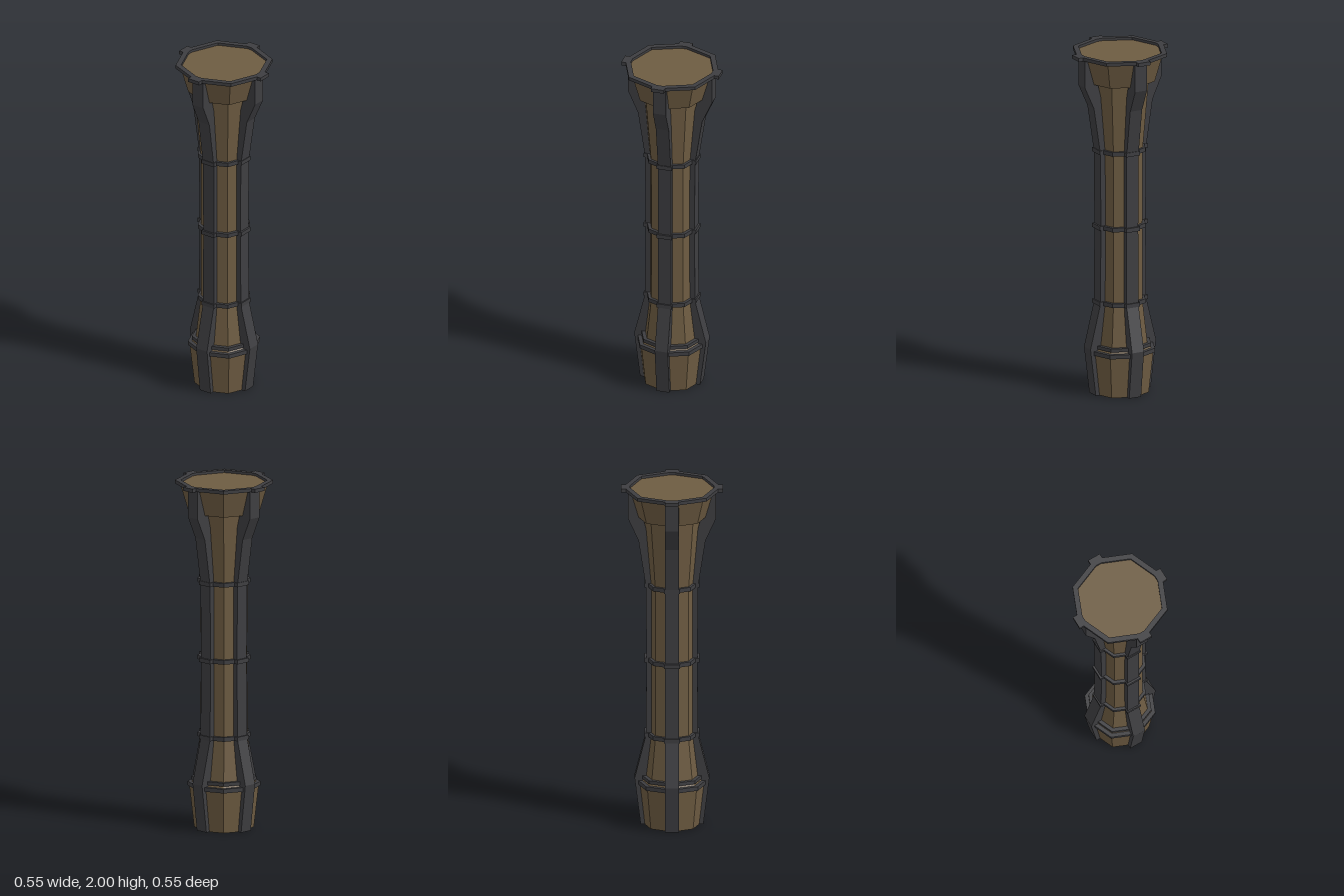
import * as THREE from 'three';

const wood = new THREE.MeshStandardMaterial({ color: 0x6e5c42, flatShading: true });
const iron = new THREE.MeshStandardMaterial({ color: 0x3e3e41, flatShading: true });
const SIDES = 8;
const HALF_WIDTH = 0.038;

// Eight-sided turned form from [radius, y] pairs listed bottom to top
function turned(name, profile, material) {
  const points = profile.map(([r, y]) => new THREE.Vector2(r, y));
  const mesh = new THREE.Mesh(new THREE.LatheGeometry(points, SIDES), material);
  mesh.name = name;
  return mesh;
}

// Closed eight-sided band with a rectangular section
function band(name, inner, outer, y0, y1) {
  return turned(name, [[inner, y0], [outer, y0], [outer, y1], [inner, y1], [inner, y0]], iron);
}

// Flat profile in (radius, y), thickened across its width
function slab(name, profile, halfWidth) {
  const shape = new THREE.Shape(profile.map(([r, y]) => new THREE.Vector2(r, y)));
  const geometry = new THREE.ExtrudeGeometry(shape, { depth: halfWidth * 2, bevelEnabled: false });
  geometry.translate(0, 0, -halfWidth);
  const mesh = new THREE.Mesh(geometry, iron);
  mesh.name = name;
  return mesh;
}

function block(name, r0, r1, y0, y1, halfWidth) {
  return slab(name, [[r0, y0], [r1, y0], [r1, y1], [r0, y1]], halfWidth);
}

export function createModel() {
  const model = new THREE.Group();
  model.name = 'column';

  // Wooden foot, shaft and flared head
  model.add(turned('foot', [[0.168, 0], [0.196, 0.25], [0.172, 0.27], [0, 0.27]], wood));
  model.add(turned('shaft', [
    [0.168, 0.25], [0.16, 0.29], [0.132, 0.53], [0.13, 0.98],
    [0.132, 1.42], [0.155, 1.69], [0.168, 1.84],
  ], wood));
  model.add(turned('head', [[0.15, 1.83], [0.203, 1.83], [0.248, 1.985], [0, 1.985]], wood));

  // Dark underside
  const base = new THREE.Mesh(new THREE.CircleGeometry(0.168, SIDES), iron);
  base.rotation.x = Math.PI / 2;
  base.position.y = 0.0005;
  base.name = 'underside';
  model.add(base);

  // Iron bands
  model.add(band('footBand', 0.16, 0.205, 0.238, 0.262));
  model.add(band('ankleBand', 0.14, 0.182, 0.272, 0.292));
  model.add(band('topRim', 0.243, 0.275, 1.98, 2));
  const ringHeights = [0.535, 0.98, 1.425];
  for (const y of ringHeights) model.add(band('shaftRing', 0.12, 0.149, y - 0.012, y + 0.012));

  // Four iron braces on the diagonals
  const braceProfile = [
    [0.14, 0], [0.176, 0], [0.21, 0.275], [0.147, 0.53], [0.143, 0.98],
    [0.147, 1.42], [0.188, 1.69], [0.246, 1.82], [0.246, 1.985],
    [0.2, 1.97], [0.13, 1.7], [0.1, 1.42], [0.1, 0.53], [0.13, 0.28],
  ];
  for (let i = 0; i < 4; i++) {
    const brace = new THREE.Group();
    brace.name = 'brace';
    brace.rotation.y = Math.PI / 4 + (i * Math.PI) / 2;
    brace.add(slab('braceBar', braceProfile, HALF_WIDTH));
    brace.add(block('rimTab', 0.236, 0.286, 1.979, 2, HALF_WIDTH));
    // Clips where the rings pass over the bar
    for (const y of ringHeights) {
      brace.add(block('ringClip', 0.12, 0.154, y - 0.012, y + 0.012, HALF_WIDTH + 0.006));
    }
    model.add(brace);
  }
  return model;
}
